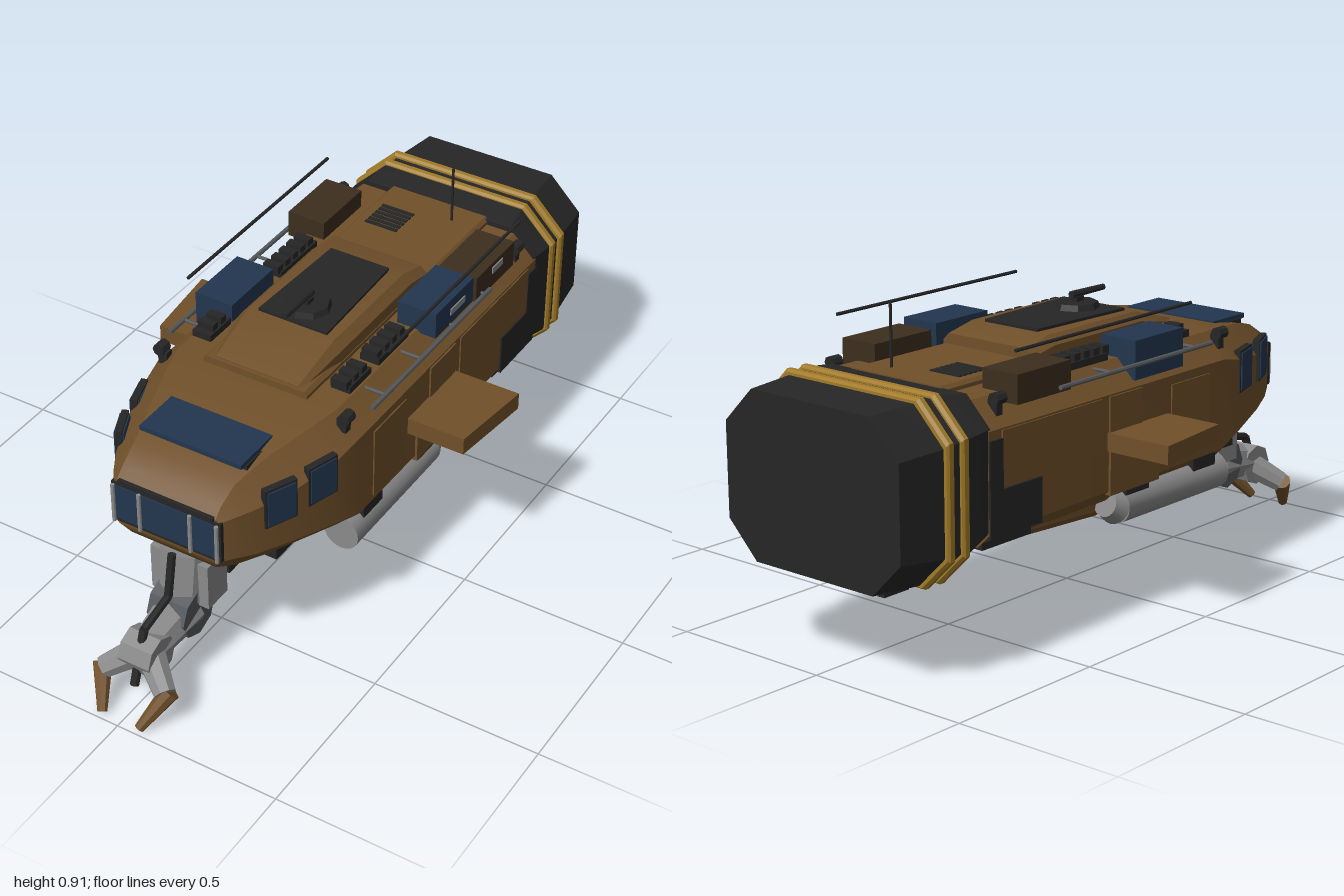
import * as THREE from 'three';
import { toCreasedNormals } from 'three/addons/utils/BufferGeometryUtils.js';

export function createModel() {
  const model = new THREE.Group();
  const paint = (name, color) => {
    const m = new THREE.MeshStandardMaterial({ color });
    m.name = name;
    return m;
  };
  const brown = paint('hull brown', 0x70502a);
  const yellow = paint('band yellow', 0xa07a28);
  const dark = paint('dark metal', 0x262626);
  const blue = paint('glass blue', 0x22364f);
  const grey = paint('light grey', 0x8a8a8a);
  const umber = paint('crate umber', 0x3c2e1e);
  const steel = paint('steel grey', 0x55585c);

  const add = (name, geo, mat, crease = 0.5) => {
    const mesh = new THREE.Mesh(toCreasedNormals(geo, crease), mat);
    mesh.name = name;
    model.add(mesh);
    return mesh;
  };
  // box given by its limits
  const box = (name, mat, x0, x1, y0, y1, z0, z1) => {
    const g = new THREE.BoxGeometry(Math.abs(x1 - x0), y1 - y0, z1 - z0);
    g.translate((x0 + x1) / 2, (y0 + y1) / 2, (z0 + z1) / 2);
    return add(name, g, mat);
  };
  // tapered rod between two points
  const rod = (name, mat, a, b, r0, r1 = r0, sides = 8, crease = 0.5) => {
    const p = new THREE.Vector3(...a), q = new THREE.Vector3(...b);
    const d = q.clone().sub(p);
    const g = new THREE.CylinderGeometry(r1, r0, d.length(), sides);
    g.applyQuaternion(new THREE.Quaternion().setFromUnitVectors(new THREE.Vector3(0, 1, 0), d.normalize()));
    g.translate(...p.add(q).multiplyScalar(0.5).toArray());
    return add(name, g, mat, crease);
  };
  // chamfered sections [z, halfWidth, bottom, top, topChamfer, bottomChamfer], back to front
  const loft = (name, mat, sections, crease = 0.4) => {
    const pos = [], idx = [], n = 8;
    for (const [z, w, b, t, c, e] of sections) {
      const half = [[w, b + e], [w, t - c], [w - c, t]];
      for (const [x, y] of half) pos.push(x, y, z);
      for (const [x, y] of half.reverse()) pos.push(-x, y, z);
      pos.push(-(w - e), b, z, w - e, b, z);
    }
    for (let i = 0; i < sections.length - 1; i++)
      for (let j = 0; j < n; j++) {
        const a = i * n + j, k = i * n + (j + 1) % n;
        idx.push(a, k, k + n, a, k + n, a + n);
      }
    const f = (sections.length - 1) * n;
    for (let j = 1; j < n - 1; j++) idx.push(0, j + 1, j, f, f + j, f + j + 1);
    const g = new THREE.BufferGeometry();
    g.setAttribute('position', new THREE.Float32BufferAttribute(pos, 3));
    g.setIndex(idx);
    return add(name, g, mat, crease);
  };

  // main hull and nose
  loft('hull', brown, [
    [-0.69, 0.325, 0.33, 0.715, 0.07, 0.04],
    [0.3, 0.325, 0.335, 0.715, 0.07, 0.05],
    [0.4, 0.31, 0.345, 0.705, 0.08, 0.07],
    [0.55, 0.265, 0.36, 0.685, 0.08, 0.08],
    [0.65, 0.22, 0.38, 0.66, 0.06, 0.07],
    [0.71, 0.185, 0.41, 0.625, 0.03, 0.05],
    [0.735, 0.165, 0.45, 0.6, 0.01, 0.01],
  ], 0.6);
  loft('belly', brown, [
    [-0.62, 0.25, 0.3, 0.36, 0.01, 0.02],
    [-0.15, 0.25, 0.275, 0.36, 0.01, 0.02],
    [0.3, 0.22, 0.33, 0.36, 0.01, 0.01],
  ]);
  box('bellyFrontPlate', dark, -0.2, 0.2, 0.325, 0.37, 0.28, 0.52);
  box('rearUndersideBlock', dark, -0.3, 0.3, 0.325, 0.37, -0.69, -0.5);

  // rear engine block with bands
  loft('engineBlock', dark, [
    [-1, 0.31, 0.265, 0.73, 0.1, 0.1],
    [-0.86, 0.323, 0.26, 0.735, 0.1, 0.09],
    [-0.76, 0.328, 0.26, 0.74, 0.095, 0.09],
    [-0.68, 0.322, 0.33, 0.73, 0.08, 0.05],
  ]);
  for (const z of [-0.785, -0.84])
    loft('engineBand', yellow, [
      [z - 0.014, 0.332, 0.255, 0.743, 0.1, 0.09],
      [z - 0.007, 0.337, 0.25, 0.75, 0.1, 0.09],
      [z + 0.007, 0.337, 0.25, 0.75, 0.1, 0.09],
      [z + 0.014, 0.332, 0.255, 0.743, 0.1, 0.09],
    ]);
  for (const x of [-0.18, 0.18])
    for (const y of [0.385, 0.61]) {
      const ring = new THREE.TorusGeometry(0.075, 0.012, 6, 20);
      ring.translate(x, y, -0.987);
      add('thrusterRing', ring, dark, 1);
      rod('thrusterCore', dark, [x, y, -0.99], [x, y, -0.998], 0.06, 0.045, 20);
    }
  for (const x of [-0.21, 0, 0.21]) box('rearSkid', dark, x - 0.012, x + 0.012, 0.255, 0.3, -0.97, -0.88);

  // raised roof spine and turret
  loft('roofSpine', brown, [
    [-0.69, 0.165, 0.7, 0.735, 0.01, 0],
    [0.31, 0.165, 0.7, 0.735, 0.01, 0],
  ]);
  loft('roofCabin', brown, [
    [-0.33, 0.163, 0.72, 0.765, 0.02, 0],
    [-0.24, 0.163, 0.72, 0.787, 0.025, 0],
    [0.13, 0.163, 0.72, 0.787, 0.025, 0],
    [0.3, 0.14, 0.72, 0.738, 0.01, 0],
  ]);
  const plate = new THREE.Shape([[-0.095, 0.235], [-0.11, -0.12], [0.11, -0.12], [0.095, 0.235]]
    .map(([x, y]) => new THREE.Vector2(x, y)));
  const plateGeo = new THREE.ExtrudeGeometry(plate, { depth: 0.013, bevelEnabled: false });
  plateGeo.rotateX(-Math.PI / 2).translate(0, 0.782, 0);
  add('hatchPlate', plateGeo, dark);
  rod('turretBase', dark, [0, 0.79, 0.04], [0, 0.812, 0.04], 0.07, 0.062, 8);
  rod('turretGun', dark, [0, 0.833, 0.02], [0, 0.833, 0.16], 0.011, 0.009);
  box('gunMount', dark, -0.012, 0.012, 0.81, 0.826, 0.03, 0.06);
  rod('antenna', dark, [0.08, 0.72, -0.62], [0.08, 0.91, -0.62], 0.004);
  for (let i = 0; i < 6; i++)
    box('ventSlat', dark, -0.13, -0.025, 0.73, 0.739, -0.585 + i * 0.019, -0.573 + i * 0.019);

  // roof cargo
  box('blueCrate', blue, 0.19, 0.312, 0.705, 0.785, -0.33, -0.12);
  box('blueCrate', blue, -0.318, -0.197, 0.66, 0.77, -0.09, 0.12);
  box('brownCrate', umber, 0.19, 0.312, 0.69, 0.77, -0.57, -0.35);
  box('brownCrate', umber, -0.318, -0.197, 0.69, 0.77, -0.57, -0.36);
  box('crateLabel', grey, 0.312, 0.315, 0.735, 0.755, -0.28, -0.2);
  box('crateLabel', grey, 0.312, 0.315, 0.735, 0.755, -0.5, -0.44);
  for (const [x, z0, z1] of [[0.22, 0.12, 0.23], [0.22, -0.08, 0.08], [-0.225, 0.13, 0.23], [-0.225, -0.32, -0.13]]) {
    box('gearRack', dark, x - 0.03, x + 0.03, 0.71, 0.735, z0, z1);
    for (let z = z0 + 0.015; z < z1 - 0.01; z += 0.04)
      box('gearCan', dark, x - 0.025, x + 0.025, 0.73, 0.755, z, z + 0.025);
  }

  for (const s of [-1, 1]) {
    // rails, floating whip rods and lamps
    rod('sideRail', steel, [s * 0.325, 0.705, 0.24], [s * 0.325, 0.705, -0.41], 0.007);
    for (const z of [0.17, -0.02, -0.2, -0.38])
      rod('railStrut', steel, [s * 0.327, 0.705, z], [s * 0.26, 0.705, z], 0.005);
    rod('whipRod', dark, [s * 0.32, 0.835, 0.15], [s * 0.32, 0.835, -0.58], 0.005);
    for (const z of [0.32, -0.62]) {
      rod('lamp', dark, [s * 0.295, 0.715, z - 0.018], [s * 0.295, 0.715, z + 0.018], 0.018);
      box('lampBase', dark, s * 0.27, s * 0.3, 0.67, 0.71, z - 0.012, z + 0.012);
    }

    // side fins
    const fin = new THREE.Shape([[0.31, -0.045], [0.5, -0.045], [0.53, 0.215], [0.31, 0.215]]
      .map(([x, y]) => new THREE.Vector2(s * x, y)));
    const finGeo = new THREE.ExtrudeGeometry(fin, { depth: 0.052, bevelEnabled: false });
    finGeo.rotateX(-Math.PI / 2).translate(0, 0.49, 0);
    add('sideFin', finGeo, brown);

    // hull side panels
    box('lowerSidePanel', brown, s * 0.31, s * 0.332, 0.365, 0.5, -0.21, 0);
    box('upperSidePanel', brown, s * 0.31, s * 0.33, 0.53, 0.64, -0.21, -0.07);
    box('frontSidePanel', brown, s * 0.31, s * 0.329, 0.4, 0.62, 0.06, 0.23);
    box('rearSidePanel', brown, s * 0.31, s * 0.329, 0.49, 0.64, -0.64, -0.24);
    box('rearDarkPanel', dark, s * 0.31, s * 0.331, 0.36, 0.485, -0.69, -0.49);
    box('rearDarkCorner', dark, s * 0.31, s * 0.331, 0.485, 0.62, -0.69, -0.64);

    // side tanks
    rod('sideTank', grey, [s * 0.28, 0.312, 0.32], [s * 0.28, 0.312, -0.13], 0.054, 0.054, 20);
    rod('tankTail', grey, [s * 0.28, 0.312, -0.13], [s * 0.28, 0.325, -0.17], 0.054, 0.038, 20);
    for (const z of [-0.08, 0.22]) box('tankPylon', dark, s * 0.25, s * 0.322, 0.34, 0.4, z - 0.05, z + 0.05);

    // side windows, following the hull taper
    for (const [x, z, angle] of [[0.29, 0.44, 0.3], [0.249, 0.578, 0.42]]) {
      const frame = new THREE.Group();
      frame.name = 'sideWindow';
      for (const [name, mat, w, h, l] of [['windowFrame', dark, 0.02, 0.124, 0.1], ['windowGlass', blue, 0.028, 0.11, 0.086]]) {
        const pane = add(name, new THREE.BoxGeometry(w, h, l), mat);
        frame.add(pane);
      }
      frame.position.set(s * x, 0.588, z);
      frame.rotation.y = -s * angle;
      model.add(frame);
    }
  }

  // front and roof windows
  box('frontWindowFrame', dark, -0.172, 0.172, 0.462, 0.592, 0.7, 0.739);
  box('frontWindow', blue, -0.162, 0.162, 0.474, 0.583, 0.736, 0.743);
  for (const x of [-0.163, -0.08, 0.08, 0.163]) rod('windowBar', grey, [x, 0.465, 0.746], [x, 0.587, 0.746], 0.006);
  box('windowBrow', dark, -0.15, 0.15, 0.592, 0.604, 0.7, 0.742);
  box('roofWindowFrame', dark, -0.165, 0.165, 0.665, 0.688, 0.46, 0.6);
  box('roofWindow', blue, -0.16, 0.16, 0.686, 0.7, 0.47, 0.62);

  // grabber arm
  box('armBracket', dark, -0.1, 0.1, 0.29, 0.375, 0.46, 0.6);
  rod('armShoulder', grey, [0, 0.385, 0.64], [0, 0.23, 0.66], 0.08, 0.075, 8);
  for (const s of [-1, 1]) box('armShoulderPlate', grey, s * 0.055, s * 0.092, 0.225, 0.37, 0.6, 0.69);
  rod('armElbow', steel, [-0.06, 0.2, 0.69], [0.06, 0.2, 0.69], 0.075, 0.075, 8);
  rod('armForearm', grey, [0, 0.19, 0.68], [0, 0.165, 0.86], 0.07, 0.05, 8);
  rod('armWrist', grey, [-0.05, 0.16, 0.855], [0.05, 0.16, 0.855], 0.062, 0.062, 8);
  rod('armCable', dark, [0, 0.4, 0.72], [0, 0.27, 0.745], 0.012);
  rod('armCable', dark, [0, 0.27, 0.745], [0, 0.24, 0.86], 0.012);
  rod('armCable', dark, [0, 0.24, 0.86], [0, 0.085, 0.915], 0.013);
  for (const s of [-1, 1]) {
    rod('clawArm', grey, [s * 0.02, 0.155, 0.86], [s * 0.1, 0.1, 0.915], 0.042, 0.032, 8);
    rod('clawFinger', brown, [s * 0.11, 0.108, 0.905], [s * 0.06, 0.012, 0.985], 0.028, 0.014, 8);
  }
  return model;
}
